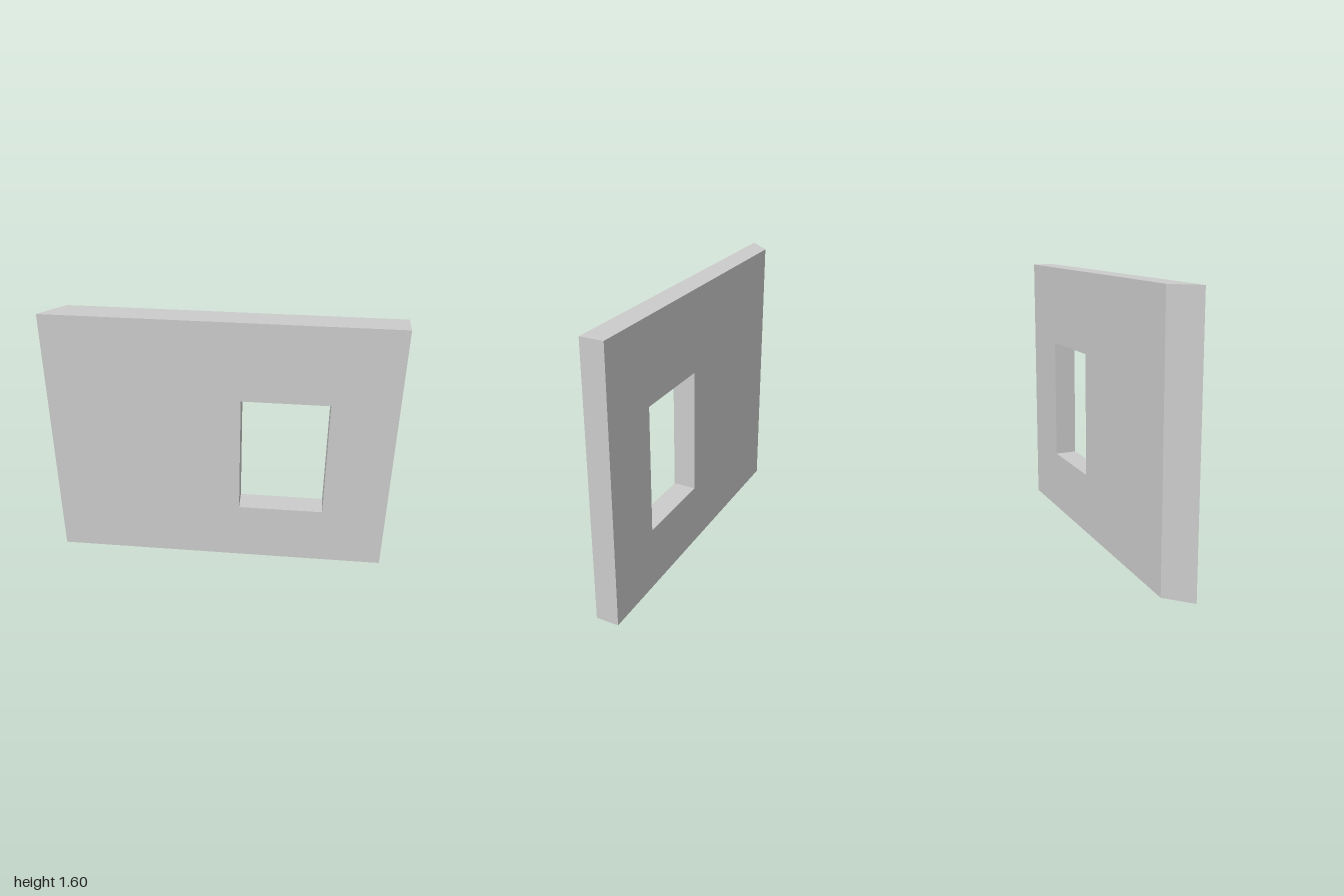
import * as THREE from 'three';

const HEIGHT = 1.6, DEPTH = 0.134, MITRE = 0.135;

// Rectangle outline from corner to corner
function rectangle(path, x0, y0, x1, y1) {
  path.moveTo(x0, y0);
  path.lineTo(x1, y0);
  path.lineTo(x1, y1);
  path.lineTo(x0, y1);
  path.closePath();
  return path;
}

export function createModel() {
  const model = new THREE.Group();
  model.name = 'wallPanel';

  // Wall slab with a window opening
  const outline = rectangle(new THREE.Shape(), -1, 0, 1, HEIGHT);
  outline.holes.push(rectangle(new THREE.Path(), 0.115, 0.373, 0.62, 1.12));
  const geometry = new THREE.ExtrudeGeometry(outline, { depth: DEPTH, bevelEnabled: false });
  geometry.translate(0, 0, -DEPTH / 2);

  // Mitred right end: pull its back edge inwards
  const position = geometry.attributes.position;
  for (let i = 0; i < position.count; i++) {
    if (position.getX(i) < -0.99 && position.getZ(i) < 0) position.setX(i, -1 + MITRE);
  }
  geometry.computeVertexNormals();

  const wall = new THREE.Mesh(
    geometry,
    new THREE.MeshStandardMaterial({ color: 0xcccccc, flatShading: true })
  );
  wall.name = 'wallWithWindowOpening';
  model.add(wall);
  return model;
}
